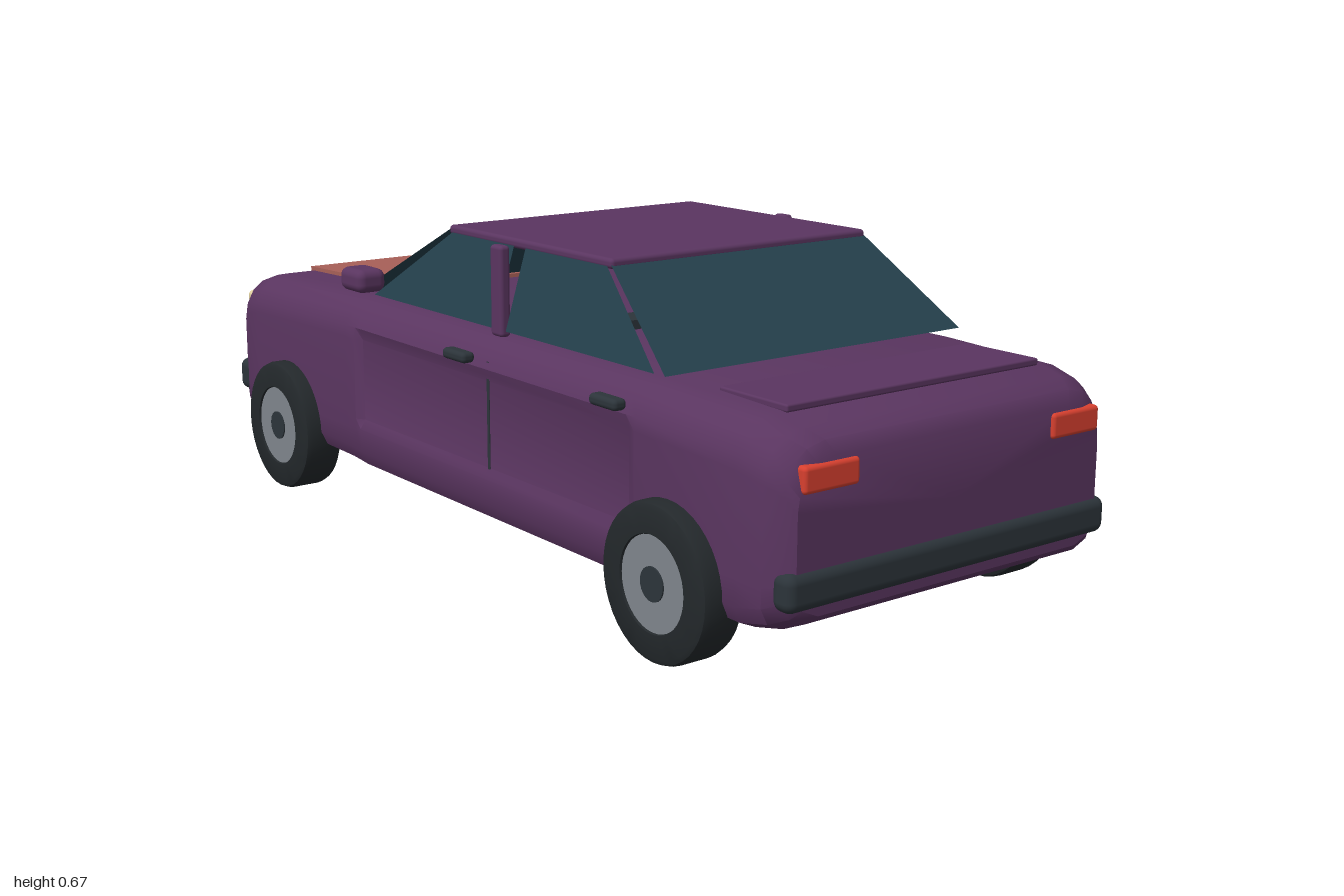
import * as THREE from 'three';
import { toCreasedNormals } from 'three/addons/utils/BufferGeometryUtils.js';
import { RoundedBoxGeometry } from 'three/addons/geometries/RoundedBoxGeometry.js';

const mat = (color) => new THREE.MeshStandardMaterial({ color });
const paint = mat(0x5a3560), glass = mat(0x24404c), hoodPaint = mat(0xa86058);
const rubber = mat(0x23282b), trim = mat(0x2c343a), rimMat = mat(0x80858c);
const red = mat(0xd8402f), cream = mat(0xe0d0a0);
glass.side = THREE.DoubleSide;

function add(parent, name, geo, material, x = 0, y = 0, z = 0) {
  const m = new THREE.Mesh(geo, material);
  m.name = name;
  m.position.set(x, y, z);
  parent.add(m);
  return m;
}

const rounded = (w, h, d, r) => new RoundedBoxGeometry(w, h, d, 3, r);

// Half outline of the body: w half width, b bottom, t top, d door recess
function section(w, b, t, d) {
  const half = [
    [w - 0.05, b], [w - 0.015, b + 0.015], [w, b + 0.045], [w, 0.205],
    [w - d, 0.225], [w - d, t - 0.085], [w - 0.004, t - 0.06],
    [w - 0.02, t - 0.03], [w - 0.045, t - 0.01], [w - 0.085, t],
  ];
  return [...half, ...half.map(([x, y]) => [-x, y]).reverse()];
}

// Closed loft through the cross-sections, back to front along z
function bodyGeometry() {
  const stations = [
    [-0.985, 0.37, 0.145, 0.42, 0], [-0.97, 0.385, 0.135, 0.44, 0],
    [-0.93, 0.402, 0.125, 0.46, 0], [-0.86, 0.41, 0.12, 0.474, 0],
    [-0.43, 0.412, 0.115, 0.487, 0], [-0.39, 0.412, 0.112, 0.487, 0],
    [-0.37, 0.412, 0.11, 0.487, 0.012], [0.58, 0.412, 0.108, 0.485, 0.012],
    [0.61, 0.412, 0.108, 0.485, 0], [0.88, 0.41, 0.108, 0.476, 0],
    [0.94, 0.402, 0.12, 0.462, 0], [0.975, 0.385, 0.135, 0.445, 0],
    [0.99, 0.37, 0.15, 0.42, 0],
  ];
  const pos = [], idx = [], n = 20, last = stations.length - 1;
  for (const [z, w, b, t, d] of stations)
    for (const [x, y] of section(w, b, t, d)) pos.push(x, y, z);
  for (let i = 0; i < last; i++)
    for (let j = 0; j < n; j++) {
      const k = (j + 1) % n, a = i * n + j, b = i * n + k;
      idx.push(a, b, b + n, a, b + n, a + n);
    }
  // end caps
  pos.push(0, 0.3, stations[0][0], 0, 0.3, stations[last][0]);
  const c = n * (last + 1);
  for (let j = 0; j < n; j++) {
    const k = (j + 1) % n;
    idx.push(c, k, j, c + 1, last * n + j, last * n + k);
  }
  const g = new THREE.BufferGeometry();
  g.setAttribute('position', new THREE.Float32BufferAttribute(pos, 3));
  g.setIndex(idx);
  return toCreasedNormals(g, 0.6);
}

// Flat pane from four corners
function pane(corners) {
  const g = new THREE.BufferGeometry();
  g.setAttribute('position', new THREE.Float32BufferAttribute(corners.flat(), 3));
  g.setIndex([0, 1, 2, 0, 2, 3]);
  g.computeVertexNormals();
  return g;
}

// Wheel with its axle along x, outer face towards +x
function wheel(side, z) {
  const g = new THREE.Group();
  g.name = 'wheel';
  const profile = [
    [0.085, -0.045], [0.135, -0.045], [0.143, -0.041], [0.147, -0.03],
    [0.147, 0.03], [0.143, 0.041], [0.135, 0.045], [0.09, 0.045], [0.086, 0.035],
  ].map(([r, y]) => new THREE.Vector2(r, y));
  const lay = (geo) => geo.rotateZ(-Math.PI / 2);
  add(g, 'tyre', lay(toCreasedNormals(new THREE.LatheGeometry(profile, 40), 0.7)), rubber);
  add(g, 'rim', lay(new THREE.CylinderGeometry(0.09, 0.09, 0.082, 40)), rimMat);
  add(g, 'hubCap', lay(new THREE.CylinderGeometry(0.032, 0.032, 0.088, 24)), trim);
  g.position.set(side * 0.403, 0.153, z);
  if (side < 0) g.rotation.y = Math.PI;
  return g;
}

export function createModel() {
  const car = new THREE.Group();
  car.name = 'car';

  add(car, 'body', bodyGeometry(), paint);

  // Bonnet and boot panels
  const bonnet = add(car, 'bonnetPanel', new THREE.BoxGeometry(0.51, 0.012, 0.445), hoodPaint, 0, 0.483, -0.652);
  bonnet.rotation.x = -0.03;
  add(car, 'bootLid', rounded(0.62, 0.014, 0.175, 0.004), paint, 0, 0.481, 0.805);

  // Roof and panes, open underneath
  add(car, 'roof', rounded(0.64, 0.02, 0.56, 0.008), paint, 0, 0.662, 0.14);
  const lo = 0.498, hi = 0.662, wLo = 0.368, wHi = 0.318;
  for (const [name, zLo, zHi] of [['windscreen', -0.43, -0.14], ['rearWindow', 0.64, 0.415]])
    add(car, name, pane([[-wLo, lo, zLo], [wLo, lo, zLo], [wHi, hi, zHi], [-wHi, hi, zHi]]), glass);

  for (const s of [1, -1]) {
    // Side glass: bottom front, bottom back, top back, top front
    for (const [name, a, b, c, d] of [
      ['frontSideWindow', -0.37, 0.1, 0.1, -0.12],
      ['rearSideWindow', 0.14, 0.61, 0.4, 0.14],
    ])
      add(car, name, pane([[s * wLo, lo, a], [s * wLo, lo, b], [s * wHi, hi, c], [s * wHi, hi, d]]), glass);

    add(car, 'doorPillar', rounded(0.024, 0.18, 0.04, 0.008), paint, s * 0.366, 0.576, 0.12);
    add(car, 'doorSeam', new THREE.BoxGeometry(0.006, 0.22, 0.008), trim, s * 0.3985, 0.33, 0.125);
    add(car, 'mirror', rounded(0.068, 0.05, 0.09, 0.018), paint, s * 0.41, 0.54, -0.345);
    for (const z of [0.535, 0.04])
      add(car, 'doorHandle', rounded(0.03, 0.022, 0.08, 0.009), trim, s * 0.415, 0.441, z);

    // Lights
    add(car, 'tailLight', rounded(0.125, 0.048, 0.04, 0.008), red, s * 0.3, 0.388, 0.977);
    add(car, 'headlight', rounded(0.14, 0.055, 0.04, 0.012), cream, s * 0.295, 0.392, -0.98);

    // Seat tops just above the body
    add(car, 'seat', new THREE.BoxGeometry(0.22, 0.03, 0.07), trim, s * 0.16, 0.49, 0.19);

    for (const z of [-0.7, 0.705]) car.add(wheel(s, z));
  }

  // Bumpers
  add(car, 'rearBumper', rounded(0.79, 0.07, 0.05, 0.02), trim, 0, 0.199, 0.975);
  add(car, 'frontBumper', rounded(0.79, 0.075, 0.06, 0.02), trim, 0, 0.218, -0.97);

  return car;
}
